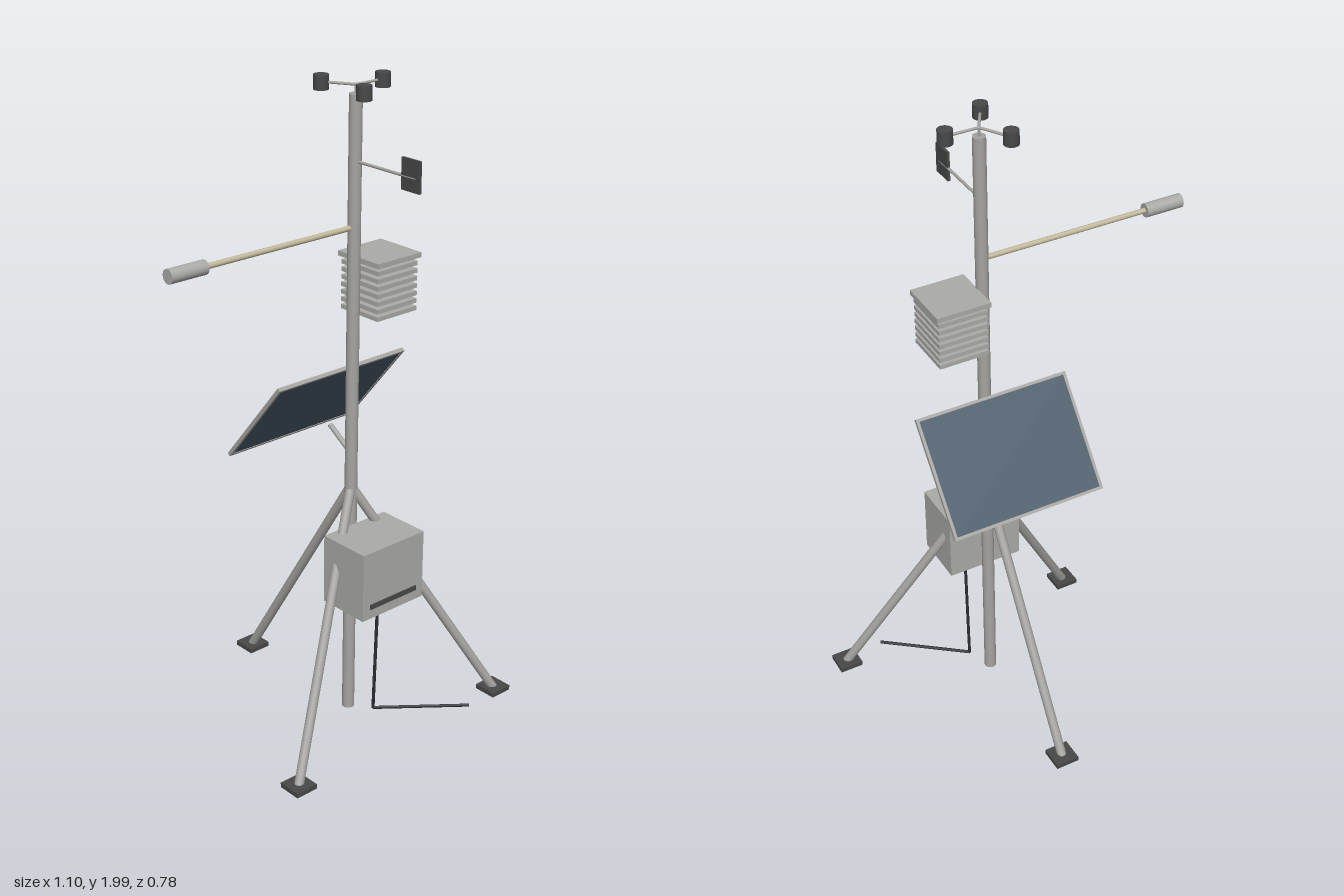
import * as THREE from 'three';

const mat = (name, color, opts = {}) => {
  const m = new THREE.MeshStandardMaterial({ color, ...opts });
  m.name = name;
  return m;
};

export function createModel() {
  const metal = mat('galvanised metal', 0xa6a4a0);
  const shell = mat('pale housing', 0xaaaaa7);
  const dark = mat('dark plastic', 0x484848);
  const cable = mat('black cable', 0x2b2e32);
  const glass = mat('solar blue', 0x4a5a6a);
  const tan = mat('tan boom', 0xc2b99c);

  const model = new THREE.Group();
  model.name = 'weatherStation';
  const V = (x, y, z) => new THREE.Vector3(x, y, z);
  const PX = 0.101, PZ = 0.12; // mast axis

  const add = (name, geo, material, pos, parent = model) => {
    const mesh = new THREE.Mesh(geo, material);
    mesh.name = name;
    mesh.position.copy(pos);
    parent.add(mesh);
    return mesh;
  };
  const box = (name, w, h, d, material, pos, parent) =>
    add(name, new THREE.BoxGeometry(w, h, d), material, pos, parent);
  // Round bar between two points
  const rod = (name, a, b, r, material, parent, sides = 16) => {
    const geo = new THREE.CylinderGeometry(r, r, a.distanceTo(b), sides);
    const mesh = add(name, geo, material, a.clone().lerp(b, 0.5), parent);
    mesh.quaternion.setFromUnitVectors(V(0, 1, 0), b.clone().sub(a).normalize());
    return mesh;
  };

  // Mast
  rod('mast', V(PX, 0.01, PZ), V(PX, 1.956, PZ), 0.019, metal, model, 24);

  // Tripod legs with square foot pads
  for (let i = 0; i < 3; i++) {
    const a = Math.PI / 6 + (i * Math.PI * 2) / 3;
    const x = PX + Math.cos(a) * 0.472, z = PZ + Math.sin(a) * 0.472;
    rod('leg', V(PX, 0.775, PZ), V(x, 0.02, z), 0.0145, metal);
    box('footPad', 0.075, 0.015, 0.075, dark, V(x, 0.0195, z));
  }

  // Equipment box with a dark slot on its front
  box('equipmentBox', 0.242, 0.218, 0.172, shell, V(0.101, 0.546, 0.224));
  box('boxSlot', 0.185, 0.016, 0.006, dark, V(0.101, 0.476, 0.31));

  // Cable dropping from the box and running along the ground
  const bend = V(0.14, 0.018, 0.193);
  rod('cableDrop', V(0.14, 0.45, 0.206), bend, 0.005, cable, model, 8);
  rod('cableRun', bend, V(0.377, 0.018, 0.38), 0.005, cable, model, 8);

  // Solar panel: framed sheet tilted toward the back
  const panel = new THREE.Group();
  panel.name = 'solarPanel';
  panel.position.set(0.102, 0.995, -0.038);
  panel.rotation.x = Math.atan2(0.235, 0.285);
  model.add(panel);
  const W = 0.49, H = 0.365, F = 0.009;
  box('panelSheet', W - F, H - F, 0.008, glass, V(0, 0, 0), panel);
  for (const s of [-1, 1]) {
    box('frameSide', F, H, 0.012, metal, V((s * (W - F)) / 2, 0, 0), panel);
    box('frameEnd', W - 2 * F, F, 0.012, metal, V(0, (s * (H - F)) / 2, 0), panel);
  }
  rod('panelBracket', V(PX, 0.88, PZ), V(PX, 0.942, 0.026), 0.008, metal, model, 12);

  // Louvred sensor shield
  const shield = new THREE.Group();
  shield.name = 'sensorShield';
  shield.position.set(0.201, 0, PZ);
  model.add(shield);
  for (let i = 0; i < 7; i++)
    box('louvre', 0.154, 0.013, 0.154, shell, V(0, 1.316 + i * 0.0227, 0), shield);
  box('shieldCap', 0.168, 0.015, 0.168, shell, V(0, 1.477, 0), shield);

  // Side boom with cylindrical sensor
  rod('sensorBoom', V(PX, 1.577, PZ), V(-0.45, 1.577, PZ), 0.008, tan);
  rod('boomSensor', V(-0.43, 1.577, PZ), V(-0.551, 1.577, PZ), 0.021, shell, model, 24);

  // Wind vane
  rod('vaneRod', V(PX, 1.767, PZ), V(PX, 1.767, 0.362), 0.0045, metal, model, 10);
  box('vaneBlade', 0.008, 0.09, 0.07, dark, V(PX, 1.773, 0.342));

  // Three-cup wind meter
  const top = V(PX, 1.98, PZ);
  rod('spindle', V(PX, 1.95, PZ), top, 0.004, metal, model, 10);
  for (let i = 0; i < 3; i++) {
    const a = (i * Math.PI * 2) / 3;
    const tip = V(PX + Math.cos(a) * 0.1, 1.98, PZ + Math.sin(a) * 0.1);
    rod('cupArm', top, tip, 0.004, metal, model, 10);
    add('windCup', new THREE.CylinderGeometry(0.022, 0.022, 0.042, 20), dark, tip);
  }

  return model;
}
